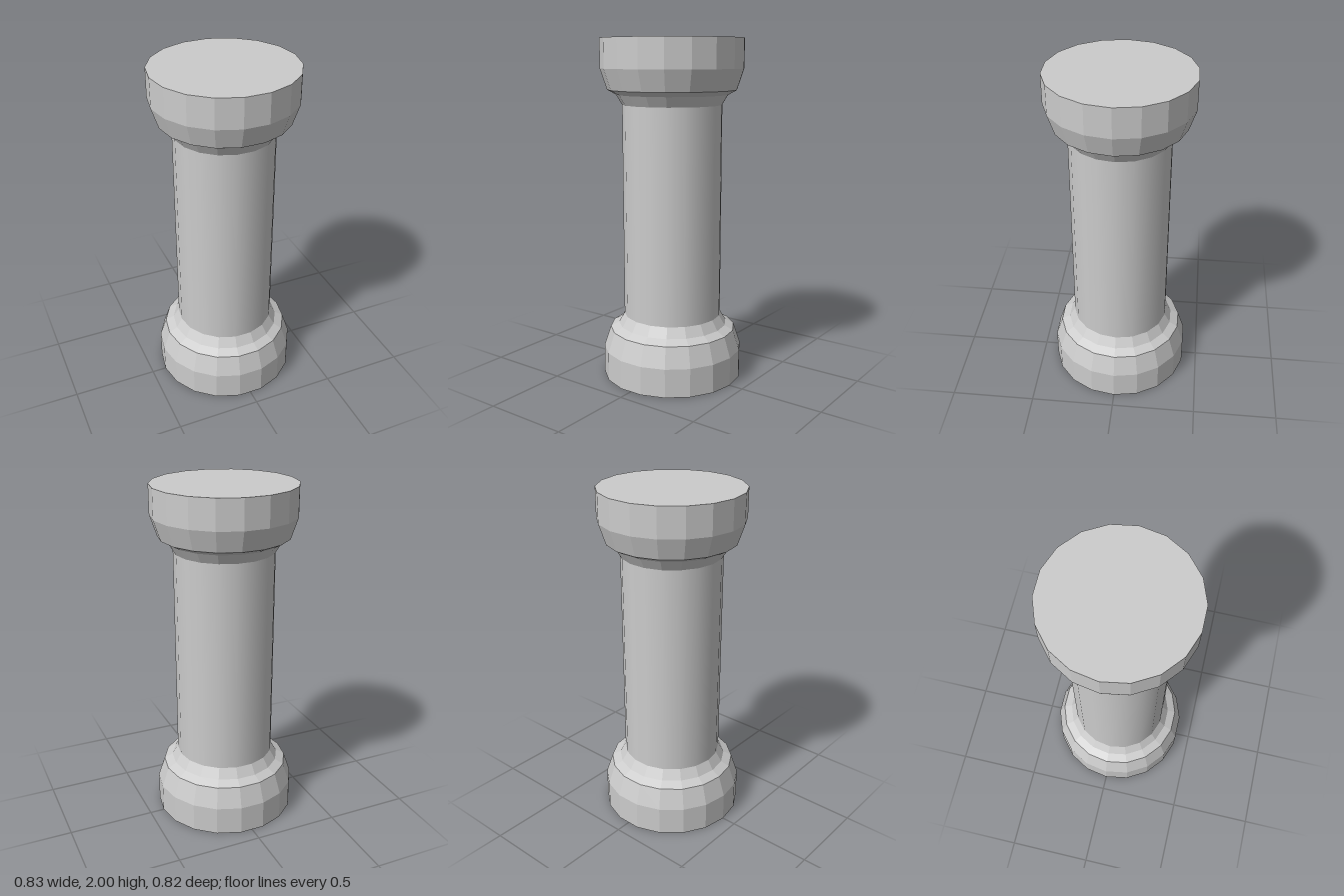
import * as THREE from 'three';

const SIDES = 18;
const HEIGHT = 2;
const SHAFT_RADIUS = 0.29;
const BASE_TOP = 0.375;

// Half outline of the base: [radius, height], from the floor up to the shaft
const BASE_PROFILE = [
  [0, 0], [0.415, 0], [0.415, 0.17], [0.375, 0.29], [0.325, 0.317], [SHAFT_RADIUS, BASE_TOP],
];

function faceted(name, profile) {
  const points = profile.map(([r, y]) => new THREE.Vector2(r, y));
  const mesh = new THREE.Mesh(
    new THREE.LatheGeometry(points, SIDES, Math.PI / 2),
    new THREE.MeshStandardMaterial({ color: 0xcccccc, flatShading: true }),
  );
  mesh.name = name;
  return mesh;
}

export function createModel() {
  const column = new THREE.Group();
  column.name = 'column';

  // Base, and the capital as its mirror image
  column.add(faceted('base', BASE_PROFILE));
  column.add(faceted('capital', BASE_PROFILE.map(([r, y]) => [r, HEIGHT - y]).reverse()));

  // Smooth shaft between them
  const shaft = new THREE.Mesh(
    new THREE.CylinderGeometry(SHAFT_RADIUS, SHAFT_RADIUS, HEIGHT - 2 * BASE_TOP, SIDES, 1, true, Math.PI / 2),
    new THREE.MeshStandardMaterial({ color: 0xcccccc }),
  );
  shaft.name = 'shaft';
  shaft.position.y = HEIGHT / 2;
  column.add(shaft);

  return column;
}
